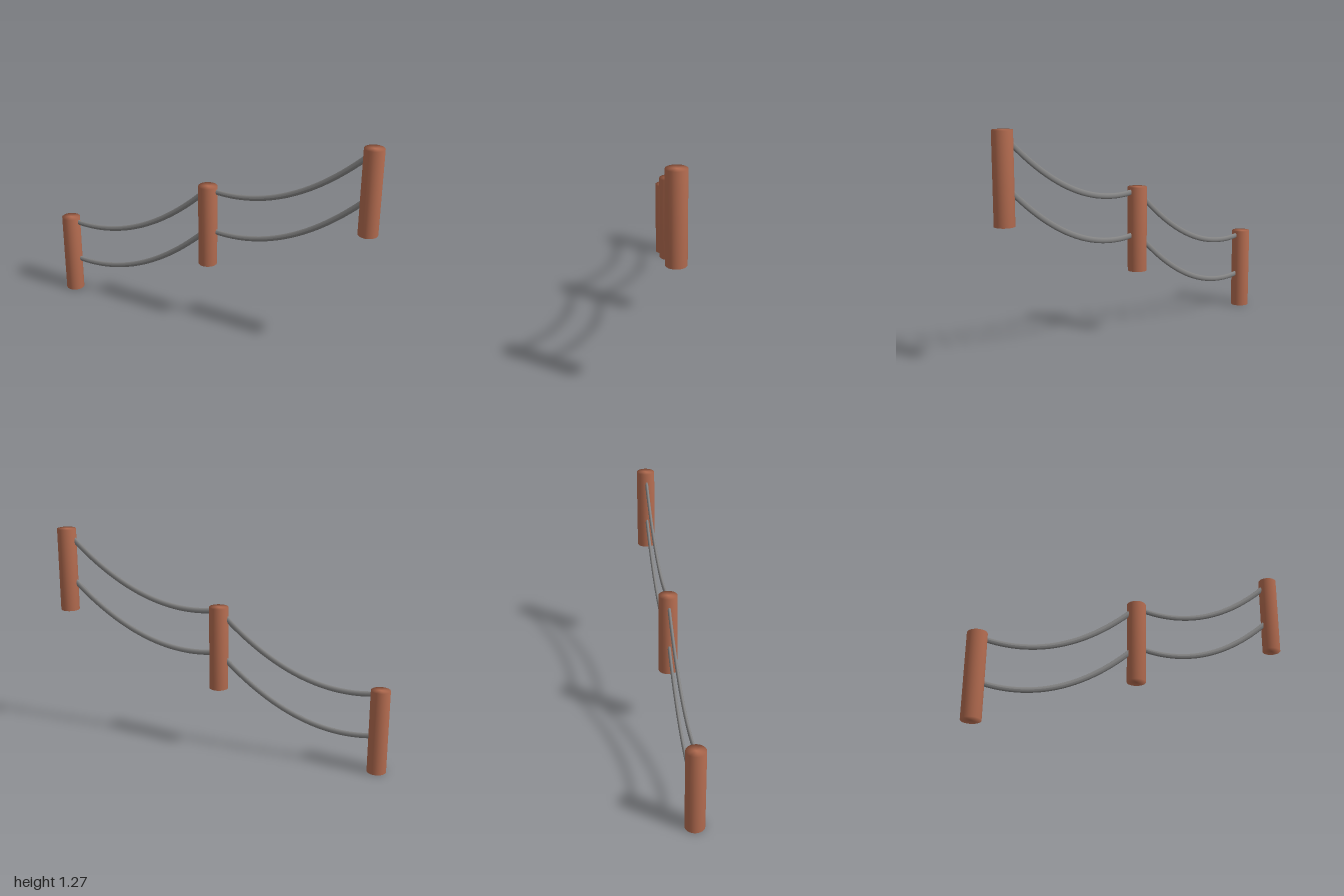
import * as THREE from 'three';
import { mergeVertices } from 'three/addons/utils/BufferGeometryUtils.js';

const SPACING = 0.945, STEP = 0.388, POST_RADIUS = 0.055, POST_HEIGHT = 0.49;

// Cylinder whose shading flows smoothly from the side onto the caps
function smoothPost() {
  const g = new THREE.CylinderGeometry(POST_RADIUS, POST_RADIUS, POST_HEIGHT, 24);
  g.deleteAttribute('normal');
  g.deleteAttribute('uv');
  const merged = mergeVertices(g);
  merged.computeVertexNormals();
  return merged;
}

// Sagging rope from one post axis to the next, flattened in z
function saggingRope() {
  const sag = 0.14, points = [];
  for (let i = 0; i <= 12; i++) {
    const t = i / 12;
    points.push(new THREE.Vector3(SPACING * t, STEP * t - 4 * sag * t * (1 - t), 0));
  }
  const g = new THREE.TubeGeometry(new THREE.CatmullRomCurve3(points), 40, 0.016, 12);
  g.scale(1, 1, 0.6);
  g.computeVertexNormals();
  return g;
}

export function createModel() {
  const model = new THREE.Group();
  model.name = 'steppedRopeFence';

  const wood = new THREE.MeshStandardMaterial({ color: 0xb46c50 });
  wood.name = 'brownWood';
  const rope = new THREE.MeshStandardMaterial({ color: 0x848484 });
  rope.name = 'greyRope';

  const postGeometry = smoothPost();
  const ropeGeometry = saggingRope();

  // Three posts, each a step higher than the last
  for (let i = 0; i < 3; i++) {
    const post = new THREE.Mesh(postGeometry, wood);
    post.name = ['rightPost', 'middlePost', 'leftPost'][i];
    post.position.set((i - 1) * SPACING, POST_HEIGHT / 2 + i * STEP, 0);
    model.add(post);
  }

  // Lower and upper rope in each of the two spans
  for (let i = 0; i < 2; i++) {
    for (const [name, y] of [['lowerRope', 0.219], ['upperRope', 0.47]]) {
      const mesh = new THREE.Mesh(ropeGeometry, rope);
      mesh.name = name + (i + 1);
      mesh.position.set((i - 1) * SPACING, y + i * STEP, 0);
      model.add(mesh);
    }
  }
  return model;
}
